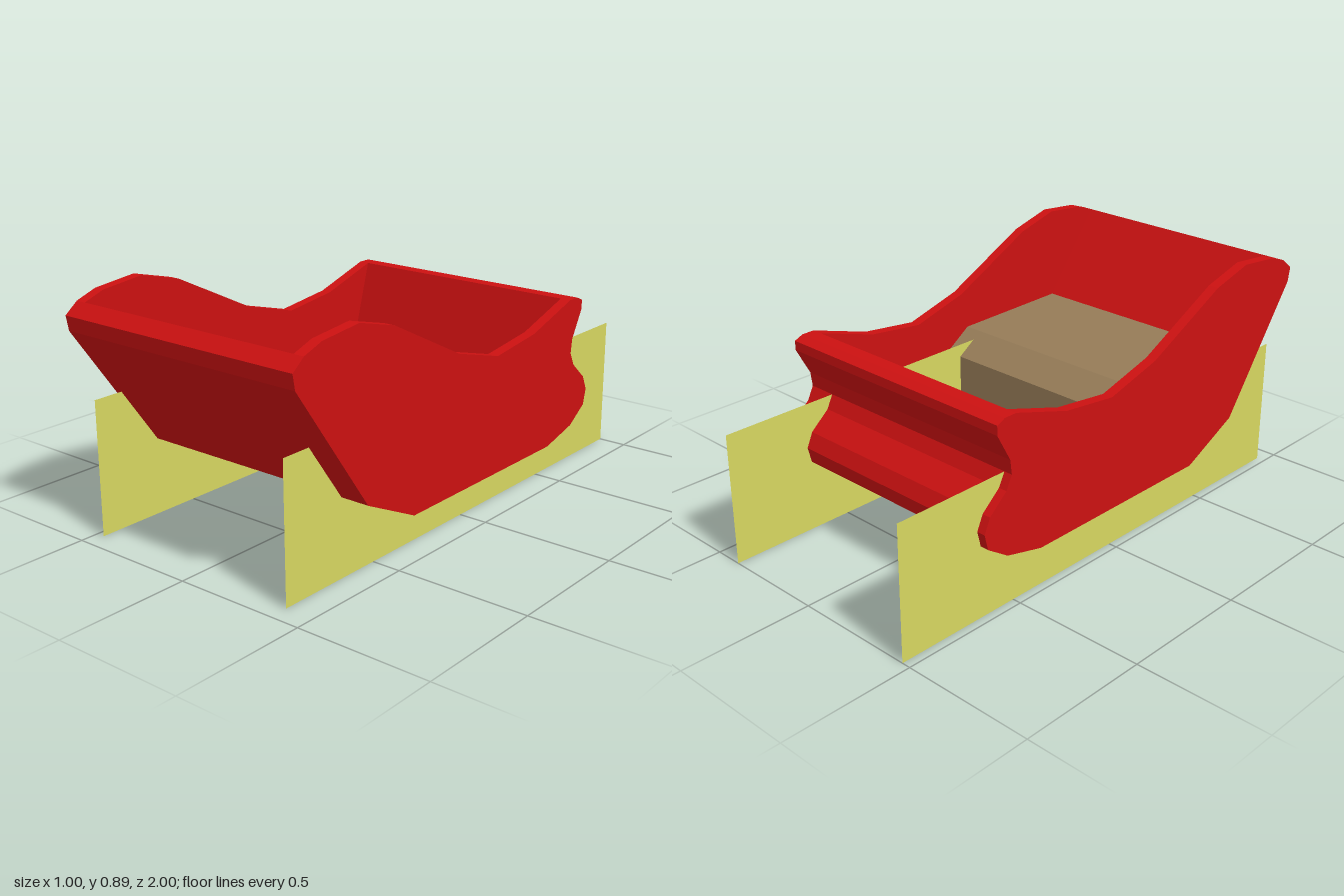
import * as THREE from 'three';

const red = new THREE.MeshStandardMaterial({ color: 0xcc1111 });
const brown = new THREE.MeshStandardMaterial({ color: 0x957b57 });
const olive = new THREE.MeshStandardMaterial({ color: 0xd6d660, side: THREE.DoubleSide });

// Extrudes a side profile of [z, y] points across x, from x0 to x1
function slab(name, points, x0, x1, material) {
  const shape = new THREE.Shape(points.map(([z, y]) => new THREE.Vector2(-z, y)));
  const geometry = new THREE.ExtrudeGeometry(shape, { depth: x1 - x0, bevelEnabled: false });
  geometry.rotateY(Math.PI / 2);
  geometry.translate(x0, 0, 0);
  const mesh = new THREE.Mesh(geometry, material);
  mesh.name = name;
  return mesh;
}

export function createModel() {
  const group = new THREE.Group();
  group.name = 'sleigh';
  const half = 0.5, inner = 0.46;

  // Outer hull line: from the tall end, under the belly, up the curled end
  const hull = [
    [0.95, 0.845], [1, 0.805], [0.99, 0.75], [0.66, 0.285], [0.42, 0.17],
    [-0.4, 0.17], [-0.56, 0.21], [-0.65, 0.27], [-0.665, 0.33], [-0.64, 0.385],
    [-0.565, 0.45], [-0.54, 0.5], [-0.547, 0.555], [-0.605, 0.66], [-0.605, 0.695],
    [-0.57, 0.71], [-0.52, 0.71],
  ];
  // Wavy top edge of the side walls
  const rim = [
    [-0.28, 0.635], [-0.05, 0.607], [0.18, 0.67], [0.53, 0.845], [0.7, 0.89], [0.87, 0.873],
  ];
  // Inside of the tub
  const lining = [[-0.41, 0.33], [-0.4, 0.23], [0.5, 0.23], [0.71, 0.53]];

  group.add(slab('leftWall', [...hull, ...rim], inner, half, red));
  group.add(slab('rightWall', [...hull, ...rim], -half, -inner, red));
  group.add(slab('tub', [...hull, ...lining], -inner, inner, red));

  // Seat and curved foot well
  const seat = [
    [0.71, 0.53], [0.21, 0.525], [0.1, 0.45], [0.1, 0.25], [-0.06, 0.25],
    [-0.22, 0.275], [-0.41, 0.33], [-0.4, 0.22], [0.5, 0.22],
  ];
  group.add(slab('seat', seat, -inner, inner, brown));

  // Flat runner panels
  for (const [name, x] of [['leftRunner', 0.39], ['rightRunner', -0.467]]) {
    const runner = new THREE.Mesh(new THREE.PlaneGeometry(1.93, 0.5), olive);
    runner.name = name;
    runner.rotation.y = Math.PI / 2;
    runner.position.set(x, 0.25, -0.035);
    group.add(runner);
  }
  return group;
}
